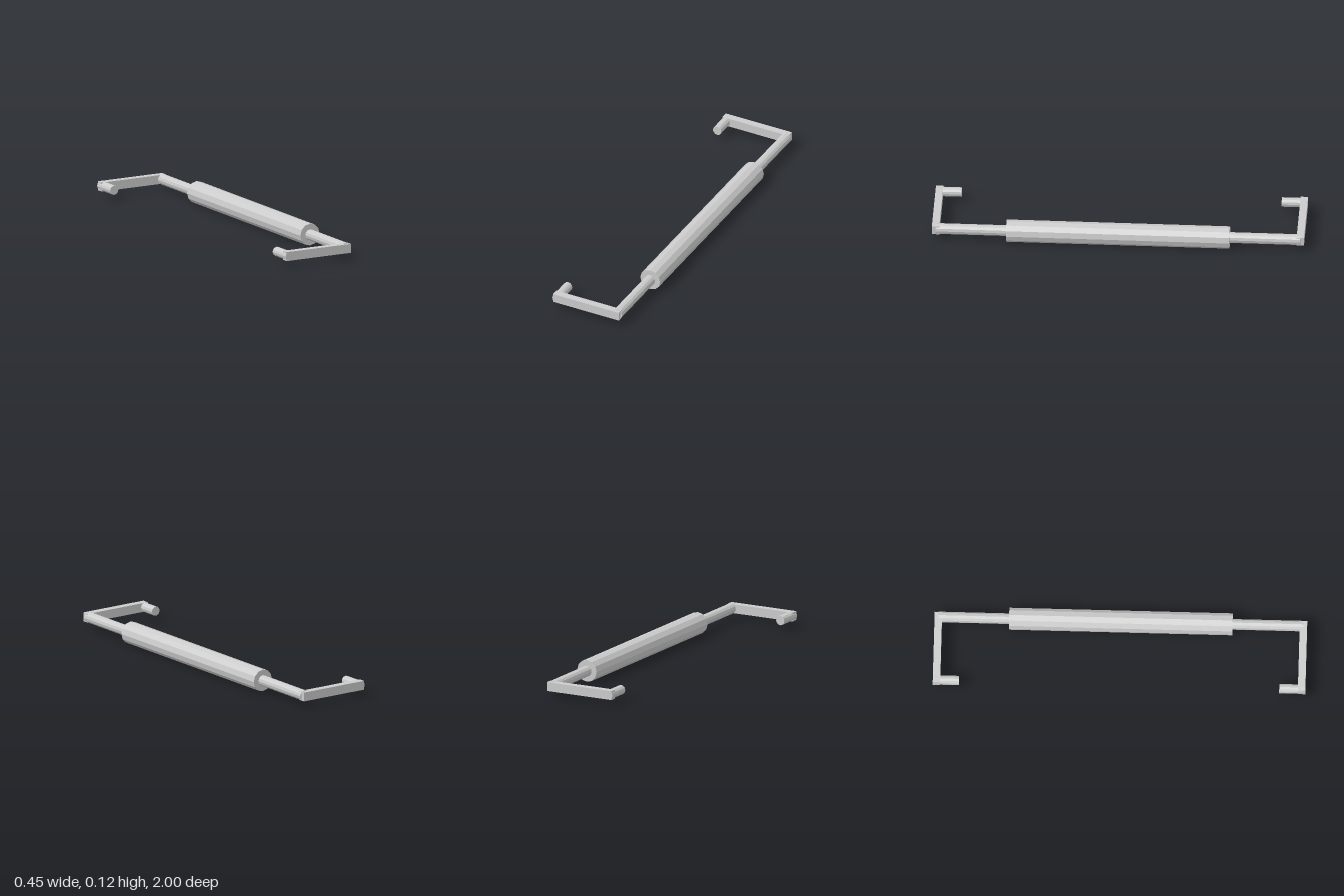
import * as THREE from 'three';

const AXIS_Y = 0.061; // height of the common centre line
const BAR_X = 0.162; // grip axis
const PEG_X = -0.198; // mounting peg axis

export function createModel() {
  const group = new THREE.Group();
  const material = new THREE.MeshStandardMaterial({ color: 0xcccccc, flatShading: true });

  const add = (name, geometry, x, z) => {
    const mesh = new THREE.Mesh(geometry, material);
    mesh.name = name;
    mesh.position.set(x, AXIS_Y, z);
    group.add(mesh);
  };

  // Twelve-sided cylinder lying along z between two depths
  const rod = (name, radius, x, z0, z1) => {
    const geometry = new THREE.CylinderGeometry(radius, radius, Math.abs(z1 - z0), 12);
    geometry.rotateX(Math.PI / 2);
    add(name, geometry, x, (z0 + z1) / 2);
  };

  // Thick grip sleeve over the long thin rod
  rod('gripSleeve', 0.06, BAR_X, -0.6, 0.6);
  rod('innerRod', 0.029, BAR_X, -0.98, 0.98);

  // Flat arm and inward-facing peg at each end
  for (const [side, s] of [['front', 1], ['back', -1]]) {
    add(side + 'Arm', new THREE.BoxGeometry(0.4, 0.049, 0.04), -0.018, s * 0.98);
    rod(side + 'Peg', 0.0255, PEG_X, s * 0.86, s * 0.999);
  }

  return group;
}
